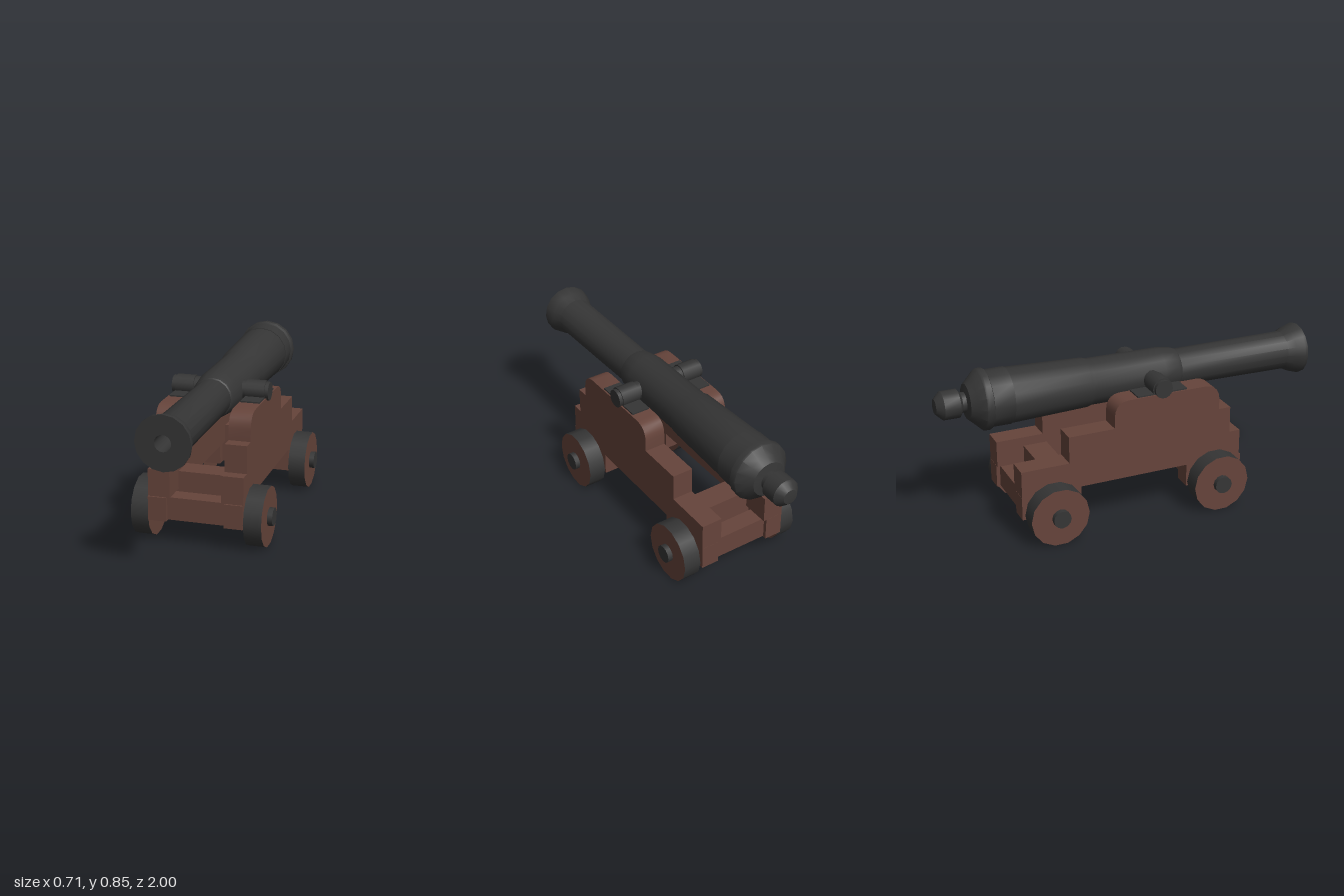
import * as THREE from 'three';
import { toCreasedNormals } from 'three/addons/utils/BufferGeometryUtils.js';

export function createModel() {
  const root = new THREE.Group();
  root.name = 'shipCannon';
  const iron = new THREE.MeshStandardMaterial({ color: 0x353535 });
  iron.name = 'darkIron';
  const wood = new THREE.MeshStandardMaterial({ color: 0x66443b });
  wood.name = 'redBrownWood';

  const add = (name, geometry, material, x = 0, y = 0, z = 0, parent = root) => {
    const mesh = new THREE.Mesh(geometry, material);
    mesh.name = name;
    mesh.position.set(x, y, z);
    parent.add(mesh);
    return mesh;
  };
  // box given by its limits on each axis
  const box = (name, material, x0, x1, y0, y1, z0, z1) =>
    add(name, new THREE.BoxGeometry(x1 - x0, y1 - y0, z1 - z0), material,
      (x0 + x1) / 2, (y0 + y1) / 2, (z0 + z1) / 2);
  // cylinder lying along x
  const rod = (name, material, r, x0, x1, y, z, sides = 14) =>
    add(name, new THREE.CylinderGeometry(r, r, x1 - x0, sides).rotateZ(-Math.PI / 2),
      material, (x0 + x1) / 2, y, z);

  // barrel: [radius, distance along z], from the rear knob to the muzzle and into the bore
  const profile = [
    [0, -1], [0.038, -0.995], [0.065, -0.968], [0.071, -0.96], [0.071, -0.88], [0.05, -0.865], [0.05, -0.845],
    [0.09, -0.838], [0.115, -0.81], [0.15, -0.775], [0.153, -0.765], [0.153, -0.74], [0.142, -0.735],
    [0.142, -0.63], [0.139, -0.63], [0.125, -0.225], [0.118, -0.2], [0.117, 0.185],
    [0.107, 0.26], [0.102, 0.275], [0.096, 0.28], [0.1, 0.9], [0.12, 0.94], [0.133, 0.985], [0.133, 1],
    [0.04, 1], [0.04, 0.8], [0, 0.8],
  ].map(([r, z]) => new THREE.Vector2(r, z));
  const barrelGeometry = new THREE.LatheGeometry(profile, 16).rotateX(Math.PI / 2);
  const barrel = add('barrel', toCreasedNormals(barrelGeometry, 0.5), iron, 0.005, 0.693, 0);
  barrel.rotation.x = 0.0075;

  // stepped side plank with a rounded top
  const outline = new THREE.Shape();
  outline.moveTo(-0.655, 0.25);
  outline.lineTo(0.54, 0.25);
  outline.lineTo(0.54, 0.39);
  outline.lineTo(0.48, 0.39);
  outline.lineTo(0.48, 0.53);
  outline.lineTo(0.415, 0.53);
  outline.lineTo(0.415, 0.59);
  outline.quadraticCurveTo(0.41, 0.665, 0.335, 0.669);
  outline.lineTo(-0.09, 0.669);
  outline.quadraticCurveTo(-0.16, 0.665, -0.162, 0.59);
  outline.lineTo(-0.162, 0.53);
  outline.lineTo(-0.405, 0.53);
  outline.lineTo(-0.405, 0.39);
  outline.lineTo(-0.655, 0.39);
  outline.closePath();
  const cheekGeometry = toCreasedNormals(
    new THREE.ExtrudeGeometry(outline, { depth: 0.11, bevelEnabled: false, curveSegments: 5 })
      .rotateY(-Math.PI / 2), 0.5);

  for (const side of [1, -1]) {
    const label = side > 0 ? 'left' : 'right';
    const span = (a, b) => (side > 0 ? [a, b] : [-b, -a]);
    add(label + 'Cheek', cheekGeometry, wood, side > 0 ? 0.24 : -0.13);

    // trunnion with its strap
    rod(label + 'Trunnion', iron, 0.047, ...span(0.08, 0.25), 0.697, 0.1);
    rod(label + 'StrapArch', iron, 0.053, ...span(0.135, 0.232), 0.697, 0.1);
    box(label + 'StrapPlate', iron, ...span(0.135, 0.232), 0.66, 0.676, -0.035, 0.235);
  }

  // axles: front and rear are mirrored, out is the direction to the carriage end
  for (const [label, wheelZ, blockZ, out] of [
    ['front', 0.395, 0.393, 1], ['rear', -0.49, -0.5, -1],
  ]) {
    const beam = (name, a, b, halfWidth, y0, y1) => {
      const z = [blockZ + out * a, blockZ + out * b].sort((p, q) => p - q);
      box(label + name, wood, -halfWidth, halfWidth, y0, y1, ...z);
    };
    beam('InnerBeam', -0.115, 0.01, 0.15, 0.134, 0.25);
    beam('OuterBeam', 0.045, 0.137, 0.15, 0.134, 0.25);
    beam('CrossBeam', -0.115, 0.01, 0.135, 0.25, 0.342);

    for (const side of [1, -1]) {
      const name = label + (side > 0 ? 'Left' : 'Right');
      const span = (a, b) => (side > 0 ? [a, b] : [-b, -a]);
      box(name + 'AxleBlock', wood, ...span(0.146, 0.239), 0.129, 0.251, blockZ - 0.156, blockZ + 0.156);
      // wheel with an iron rim and wooden faces
      rod(name + 'Wheel', [iron, wood, wood], 0.152, ...span(0.24, 0.33), 0.152, wheelZ, 14);
      rod(name + 'Hub', iron, 0.046, ...span(0.3, 0.356), 0.153, wheelZ, 12);
    }
  }
  return root;
}
